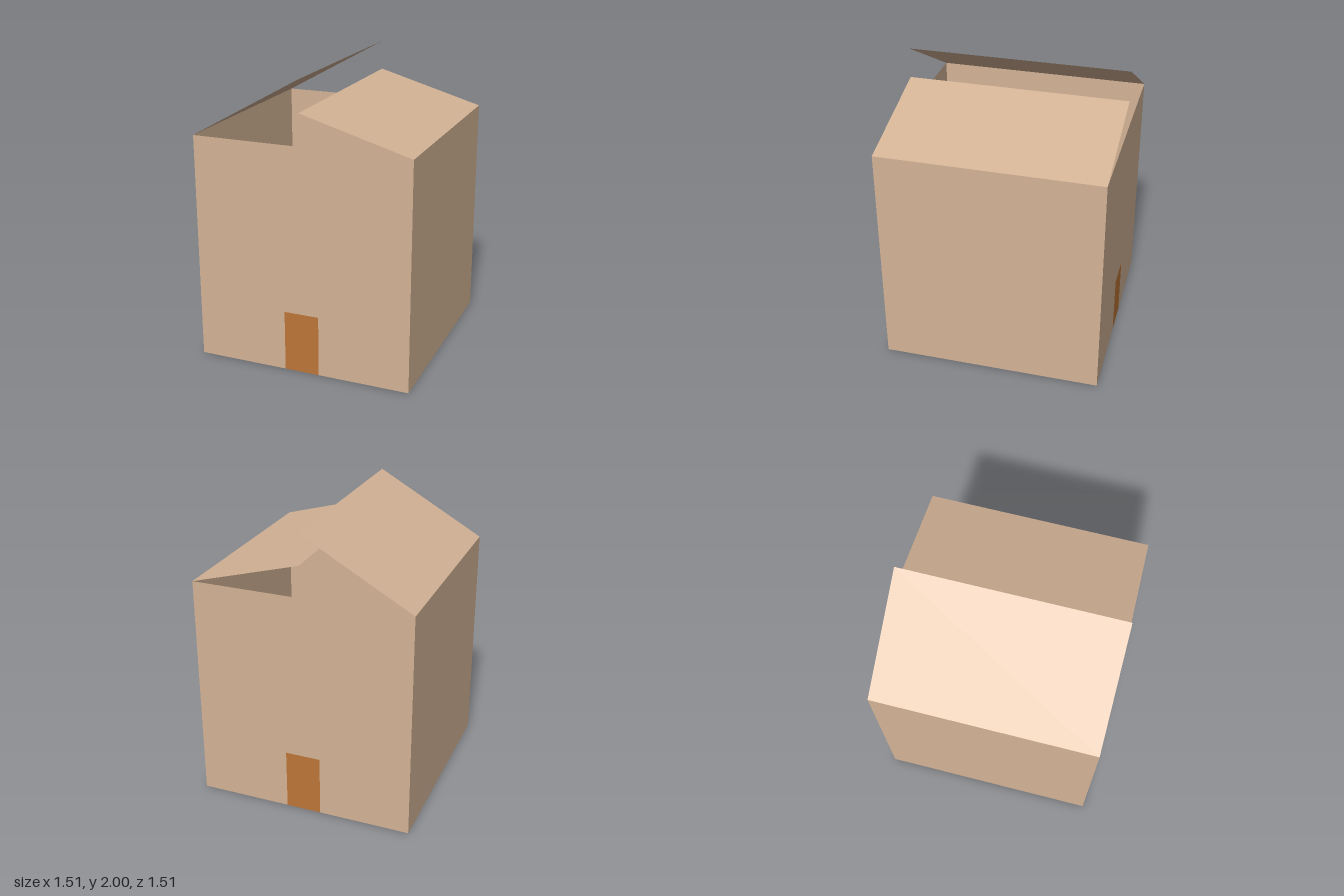
import * as THREE from 'three';

const H = 0.755;        // half width and half depth of the box
const TOP = 1.575;      // wall height
const TAPE_W = 0.122;   // half width of the tape
const TAPE_H = 0.423;   // how far the tape climbs the walls

export function createModel() {
  const model = new THREE.Group();
  const card = new THREE.MeshStandardMaterial({ color: 0xd4b496, side: THREE.DoubleSide, flatShading: true });
  const tape = new THREE.MeshStandardMaterial({ color: 0xbc7637, side: THREE.DoubleSide, flatShading: true });

  const add = (name, geometry, material) => {
    const mesh = new THREE.Mesh(geometry, material);
    mesh.name = name;
    model.add(mesh);
    return mesh;
  };
  const outline = (points) => new THREE.ShapeGeometry(
    new THREE.Shape(points.map(([x, y]) => new THREE.Vector2(x, y))));

  // Front and back walls, notched so the tape sits flush
  for (const [side, s] of [['front', 1], ['back', -1]]) {
    const turn = s > 0 ? 0 : Math.PI;
    const wall = add(side + 'Wall', outline([
      [-H, 0], [-TAPE_W, 0], [-TAPE_W, TAPE_H], [TAPE_W, TAPE_H],
      [TAPE_W, 0], [H, 0], [H, TOP], [-H, TOP],
    ]), card);
    const strip = add(side + 'Tape', new THREE.PlaneGeometry(2 * TAPE_W, TAPE_H), tape);
    wall.position.z = s * H;
    strip.position.set(0, TAPE_H / 2, s * H);
    wall.rotation.y = strip.rotation.y = turn;
  }

  // Side walls, bottom halves and tilted lid flaps; the right flap is raised higher
  for (const [side, s, rise] of [['left', 1, 0.215], ['right', -1, 0.425]]) {
    const wall = add(side + 'Wall', new THREE.PlaneGeometry(2 * H, TOP), card);
    wall.position.set(s * H, TOP / 2, 0);
    wall.rotation.y = s * Math.PI / 2;

    const bottom = add(side + 'Bottom', new THREE.PlaneGeometry(H - TAPE_W, 2 * H), card);
    bottom.position.x = s * (H + TAPE_W) / 2;
    bottom.rotation.x = Math.PI / 2;

    const flap = add(side + 'Flap',
      new THREE.PlaneGeometry(Math.hypot(H, rise), 2 * H).rotateX(-Math.PI / 2), card);
    flap.position.set(s * H / 2, TOP + rise / 2, 0);
    flap.rotation.z = -s * Math.atan2(rise, H);
  }

  // Tape along the seam underneath
  const seam = add('bottomTape', new THREE.PlaneGeometry(2 * TAPE_W, 2 * H), tape);
  seam.rotation.x = Math.PI / 2;

  return model;
}
